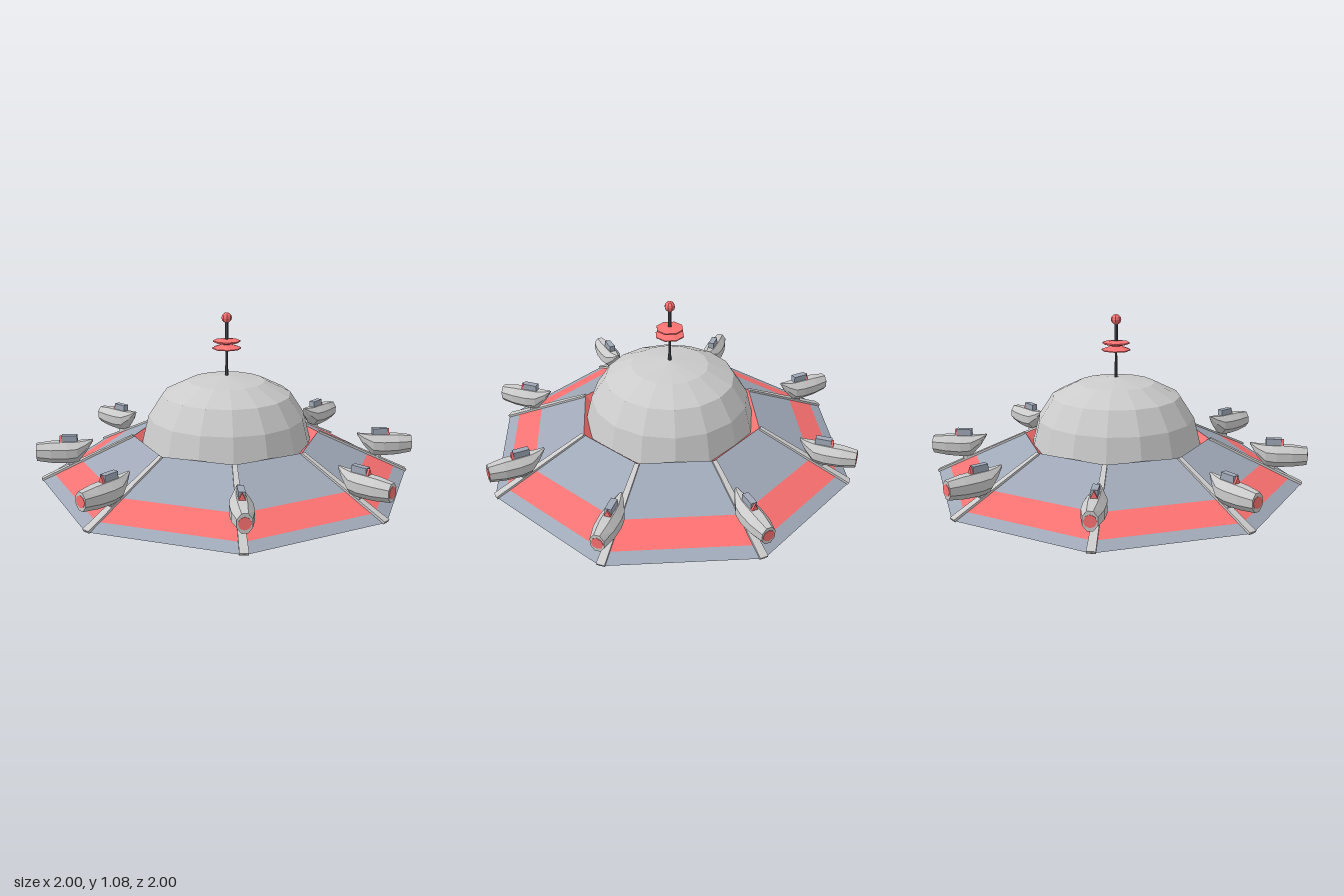
import * as THREE from 'three';

const mat = (color) => new THREE.MeshStandardMaterial({ color, flatShading: true });
const GREY = mat(0xcccccc), PANEL = mat(0xa0a9b8), RED = mat(0xff7272), DARK = mat(0x4e535a);

function add(parent, name, geometry, material, x = 0, y = 0, z = 0) {
  const mesh = new THREE.Mesh(geometry, material);
  mesh.name = name;
  mesh.position.set(x, y, z);
  parent.add(mesh);
  return mesh;
}

// Faceted revolved surface; profile is [radius, y], running upwards for an outer wall
function lathe(profile, sides) {
  return new THREE.LatheGeometry(profile.map(([r, y]) => new THREE.Vector2(r, y)), sides);
}

// Loft of eight-sided rings along z; each station is [z, centreY, halfWidth, halfHeight]
function loft(stations, sides = 8) {
  const pos = [], index = [];
  for (const [z, cy, w, h] of stations) {
    for (let i = 0; i < sides; i++) {
      const a = ((i + 0.5) / sides) * Math.PI * 2;
      pos.push(Math.cos(a) * w, cy + Math.sin(a) * h, z);
    }
  }
  for (let s = 0; s < stations.length - 1; s++) {
    for (let i = 0; i < sides; i++) {
      const a = s * sides + i, b = s * sides + ((i + 1) % sides);
      index.push(a, b, b + sides, a, b + sides, a + sides);
    }
  }
  // End caps
  const last = (stations.length - 1) * sides;
  for (let i = 1; i < sides - 1; i++) {
    index.push(0, i + 1, i);
    index.push(last, last + i, last + i + 1);
  }
  const g = new THREE.BufferGeometry();
  g.setAttribute('position', new THREE.Float32BufferAttribute(pos, 3));
  g.setIndex(index);
  g.computeVertexNormals();
  return g;
}

// Rib that widens towards the rim
function ribGeometry() {
  const g = new THREE.BoxGeometry(1, 0.014, 0.535);
  const p = g.attributes.position;
  for (let i = 0; i < p.count; i++) p.setX(i, p.getX(i) * (p.getZ(i) > 0 ? 0.042 : 0.024));
  return g;
}

function createPod() {
  const pod = new THREE.Group();
  pod.name = 'pod';
  // Body with an upswept pointed tail on the inner end
  add(pod, 'podBody', loft([
    [0.705, 0.412, 0.008, 0.006],
    [0.74, 0.381, 0.029, 0.033],
    [0.785, 0.354, 0.051, 0.058],
    [0.84, 0.351, 0.058, 0.062],
    [0.92, 0.352, 0.055, 0.059],
    [0.998, 0.353, 0.037, 0.049],
  ]), GREY);
  const nozzle = add(pod, 'podNozzle', new THREE.CylinderGeometry(0.03, 0.03, 0.01, 8), RED, 0, 0.353, 0.995);
  nozzle.rotation.x = Math.PI / 2;
  // Cockpit block with a red pointed windscreen
  add(pod, 'podCockpit', new THREE.BoxGeometry(0.032, 0.05, 0.08), PANEL, 0, 0.417, 0.825);
  const wedge = new THREE.Shape([[-0.022, 0], [0.022, 0], [0, 0.045]].map(([x, y]) => new THREE.Vector2(x, y)));
  add(pod, 'podWindscreen', new THREE.ExtrudeGeometry(wedge, { depth: 0.012, bevelEnabled: false }), RED, 0, 0.396, 0.864);
  // Strut down to the hull
  const strut = add(pod, 'podStrut', new THREE.BoxGeometry(0.03, 0.06, 0.04), GREY, 0, 0.288, 0.815);
  strut.rotation.x = 0.35;
  return pod;
}

export function createModel() {
  const model = new THREE.Group();
  model.name = 'saucer';

  // Octagonal hull, band by band
  add(model, 'baseSide', lathe([[0, 0], [0.272, 0], [0.32, 0.064]], 12), RED);
  add(model, 'hullUnderside', lathe([[0, 0.06], [0.31, 0.06], [0.7, 0.165], [0.98, 0.2]], 8), DARK);
  add(model, 'hullRim', lathe([[0.98, 0.2], [0.916, 0.23]], 8), PANEL);
  add(model, 'hullStripe', lathe([[0.916, 0.23], [0.767, 0.3]], 8), RED);
  add(model, 'hullPanels', lathe([[0.767, 0.3], [0.49, 0.43]], 8), PANEL);
  add(model, 'domeRecess', lathe([[0.49, 0.43], [0.4, 0.35]], 8), RED);

  // Dome
  add(model, 'dome', lathe([
    [0.44, 0.33], [0.445, 0.4], [0.41, 0.54], [0.335, 0.655], [0.2, 0.722], [0, 0.75],
  ], 16), GREY);

  // Antenna with a waisted double dish and a ball tip
  add(model, 'antennaLowerMast', new THREE.CylinderGeometry(0.005, 0.009, 0.17, 8), DARK, 0, 0.825, 0);
  add(model, 'antennaUpperMast', new THREE.CylinderGeometry(0.009, 0.009, 0.13, 8), DARK, 0, 0.975, 0);
  add(model, 'antennaDish', lathe([
    [0, 0.898], [0.075, 0.89], [0.075, 0.895], [0.025, 0.913], [0.07, 0.925], [0.07, 0.932], [0, 0.94],
  ], 8), RED);
  add(model, 'antennaBall', new THREE.SphereGeometry(0.027, 8, 6), RED, 0, 1.05, 0);

  // Ribs and pods on the eight hull corners
  for (let i = 0; i < 8; i++) {
    const spoke = new THREE.Group();
    spoke.name = 'spoke';
    spoke.rotation.y = (i * Math.PI) / 4;
    const rib = add(spoke, 'hullRib', ribGeometry(), GREY, 0, 0.316, 0.735);
    rib.rotation.x = Math.atan2(0.23, 0.49);
    spoke.add(createPod());
    model.add(spoke);
  }
  return model;
}
